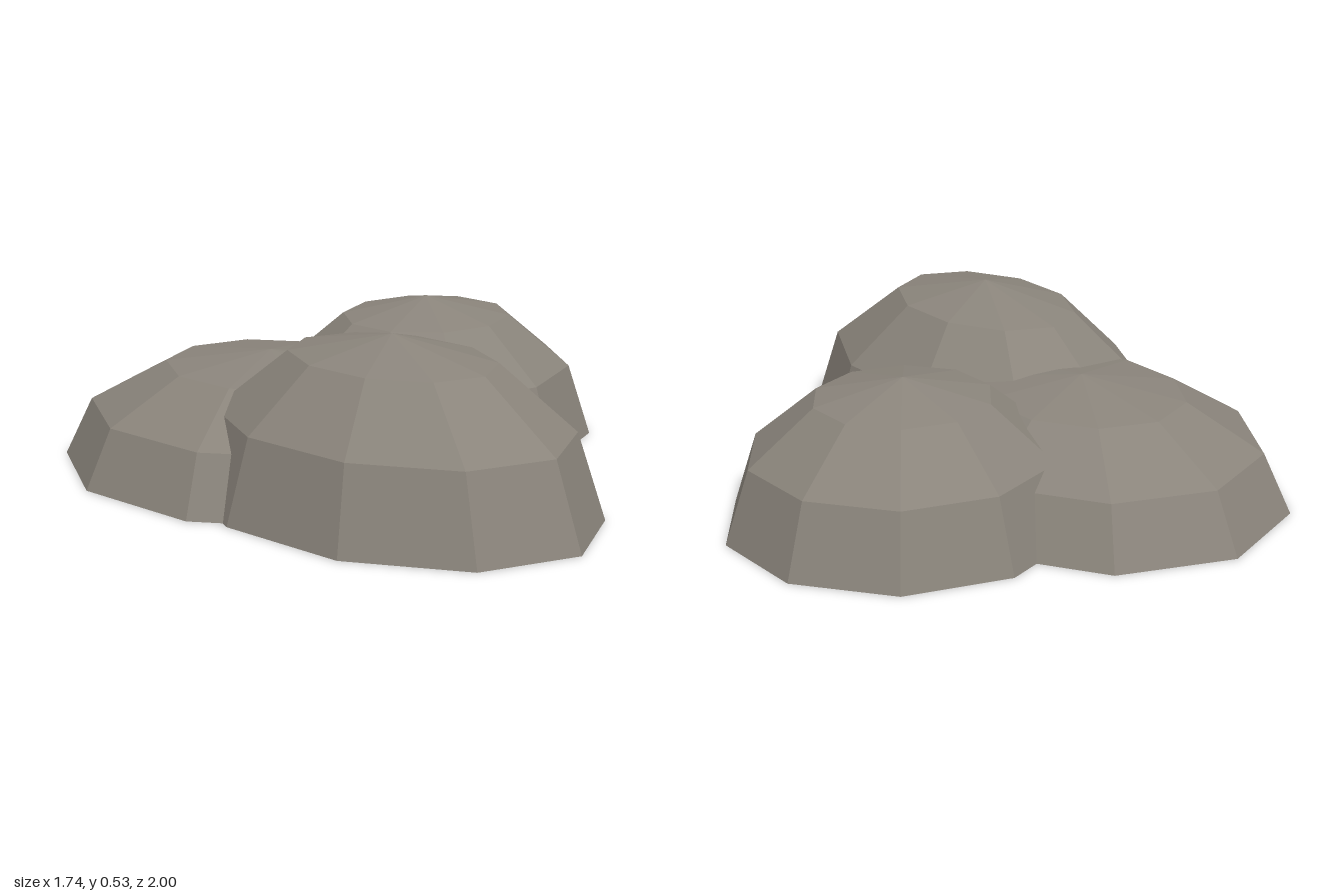
import * as THREE from 'three';

export function createModel() {
  const group = new THREE.Group();
  group.name = 'boulderCluster';

  const stone = new THREE.MeshStandardMaterial({ color: 0x8a847b, flatShading: true, side: THREE.DoubleSide });
  stone.name = 'stone';

  // Low-poly half dome, open underneath, with corners pointing along z
  const dome = new THREE.SphereGeometry(1, 10, 3, Math.PI / 2, Math.PI * 2, 0, Math.PI / 2);

  // name, centre x, centre z, radius x, height, radius z
  const boulders = [
    ['frontBoulder', -0.345, 0.285, 0.507, 0.53, 0.71],
    ['leftBoulder', 0.324, -0.155, 0.57, 0.465, 0.54],
    ['backBoulder', -0.28, -0.283, 0.62, 0.375, 0.717],
  ];
  for (const [name, x, z, rx, height, rz] of boulders) {
    const boulder = new THREE.Mesh(dome, stone);
    boulder.name = name;
    boulder.position.set(x, 0, z);
    boulder.scale.set(rx, height, rz);
    group.add(boulder);
  }
  return group;
}
